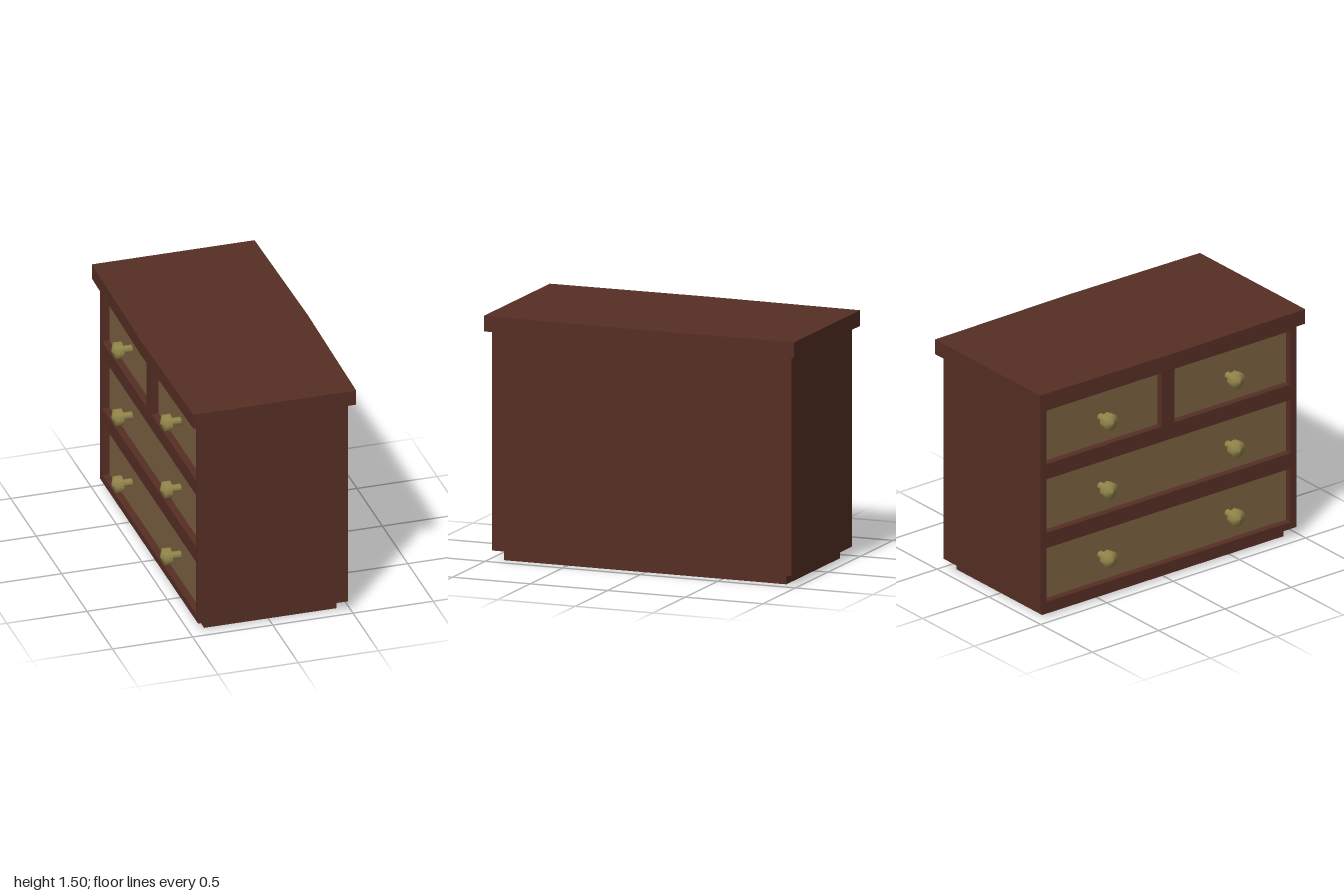
import * as THREE from 'three';

export function createModel() {
  const model = new THREE.Group();
  model.name = 'chestOfDrawers';

  const mat = (name, color) => {
    const m = new THREE.MeshStandardMaterial({ color });
    m.name = name;
    return m;
  };
  const darkWood = mat('darkWood', 0x562e24);
  const drawerWood = mat('drawerWood', 0x7a5f40);
  const brass = mat('brass', 0x918449);

  const add = (name, geometry, material, parent = model) => {
    const mesh = new THREE.Mesh(geometry, material);
    mesh.name = name;
    parent.add(mesh);
    return mesh;
  };
  // Box given by its limits on each axis
  const box = (name, [x0, x1], [y0, y1], [z0, z1], material) => {
    const g = new THREE.BoxGeometry(x1 - x0, y1 - y0, z1 - z0);
    g.translate((x0 + x1) / 2, (y0 + y1) / 2, (z0 + z1) / 2);
    return add(name, g, material);
  };
  const rect = (Type, a0, a1, b0, b1) => new Type().moveTo(a0, b0).lineTo(a1, b0)
    .lineTo(a1, b1).lineTo(a0, b1).closePath();
  // Plan shape (x, z) extruded downwards from a given height
  const slab = (name, shape, top, depth) => {
    const g = new THREE.ExtrudeGeometry(shape, { depth, bevelEnabled: false });
    g.rotateX(Math.PI / 2).translate(0, top, 0);
    return add(name, g, darkWood);
  };

  // Top board, slightly bowed along both long edges
  const topShape = new THREE.Shape([
    [-0.495, -1], [0.52, -1], [0.535, 0], [0.52, 1], [-0.495, 1], [-0.51, 0],
  ].map(([x, z]) => new THREE.Vector2(x, z)));
  slab('topBoard', topShape, 1.495, 0.095);

  // Recessed plinth, open in the middle
  const plinth = rect(THREE.Shape, -0.4, 0.425, -0.91, 0.91);
  plinth.holes.push(rect(THREE.Path, -0.34, 0.365, -0.85, 0.85));
  slab('plinth', plinth, 0.065, 0.065);

  // Carcass walls
  const bodyY = [0.065, 1.4];
  box('backWall', [0.365, 0.48], bodyY, [-0.965, 0.965], darkWood);
  for (const s of [-1, 1]) {
    const z = s > 0 ? [0.85, 0.965] : [-0.965, -0.85];
    box('sideWall', [-0.3, 0.365], bodyY, z, darkWood);
  }

  // Drawer openings as [z0, z1, y0, y1]
  const openings = [
    [-0.92, 0.92, 0.11, 0.46],
    [-0.92, 0.92, 0.56, 0.91],
    [-0.92, -0.047, 1.01, 1.36],
    [0.047, 0.92, 1.01, 1.36],
  ];

  // Face frame with rails, stiles and the upper divider
  const frame = rect(THREE.Shape, -0.965, 0.965, ...bodyY);
  for (const o of openings) frame.holes.push(rect(THREE.Path, ...o));
  const frameGeo = new THREE.ExtrudeGeometry(frame, { depth: 0.155, bevelEnabled: false });
  frameGeo.rotateY(-Math.PI / 2).translate(-0.3, 0, 0);
  add('drawerFrame', frameGeo, darkWood);

  // Drawer fronts set back in the openings
  for (const [z0, z1, y0, y1] of openings) {
    box('drawerFront', [-0.411, -0.403], [y0, y1], [z0, z1], drawerWood);
  }

  // Knobs: round stem and pointed eight-sided head
  const stemGeo = new THREE.CylinderGeometry(0.024, 0.024, 0.07, 8, 1, true);
  stemGeo.rotateZ(Math.PI / 2).translate(-0.443, 0, 0);
  const headGeo = new THREE.LatheGeometry([
    [0, 0], [0.053, 0], [0.053, 0], [0.053, 0.045], [0, 0.065],
  ].map(([r, h]) => new THREE.Vector2(r, h)), 8);
  headGeo.rotateZ(Math.PI / 2).translate(-0.473, 0, 0);
  for (const y of [0.28, 0.73, 1.18]) {
    for (const z of [-0.48, 0.48]) {
      const knob = new THREE.Group();
      knob.name = 'knob';
      add('knobStem', stemGeo, brass, knob);
      add('knobHead', headGeo, brass, knob);
      knob.position.set(0, y, z);
      model.add(knob);
    }
  }

  return model;
}
